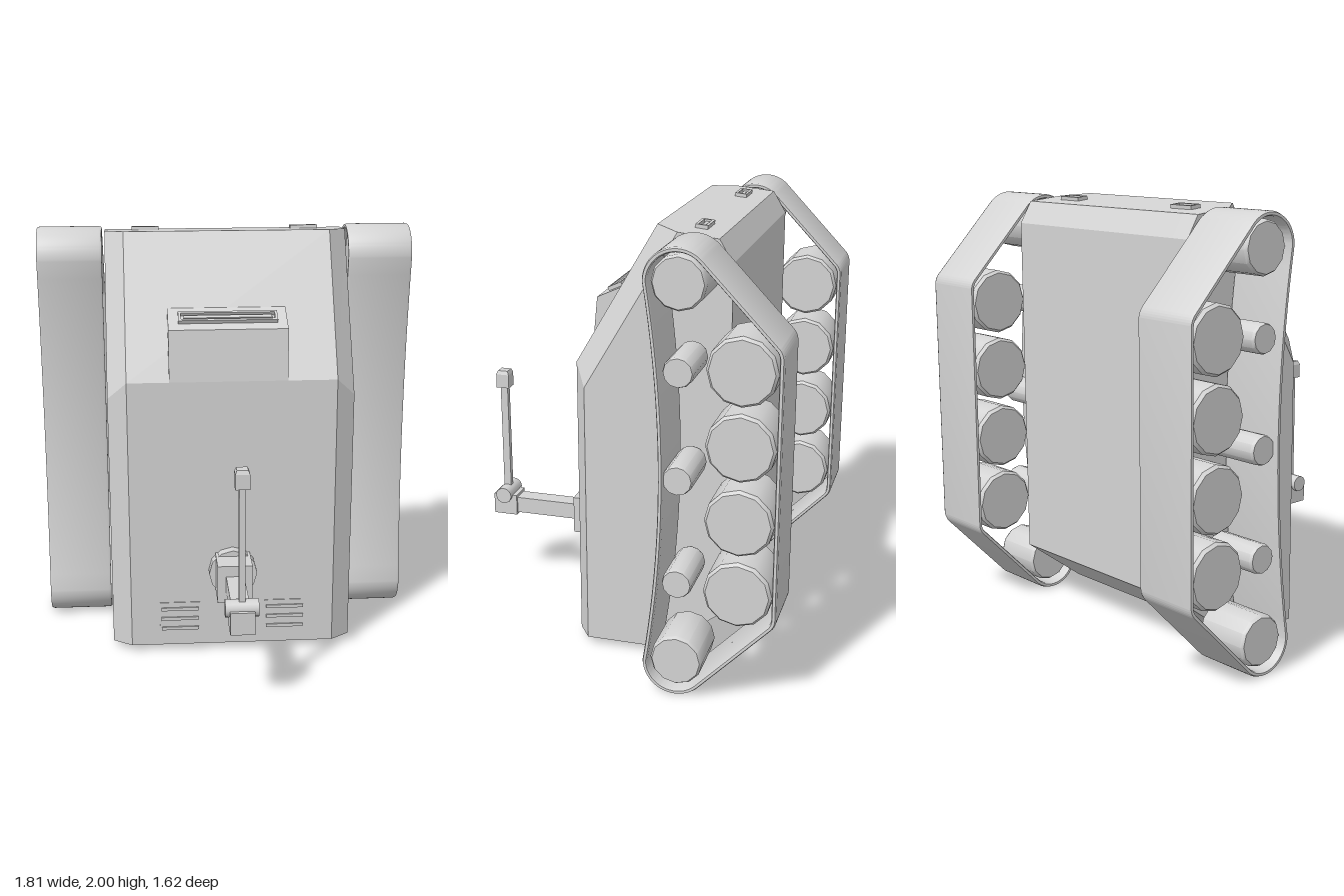
import * as THREE from 'three';
import { toCreasedNormals } from 'three/addons/utils/BufferGeometryUtils.js';

const grey = new THREE.MeshStandardMaterial({ color: 0xd4d4d4 });
grey.name = 'plain grey';

function add(parent, name, geometry, x = 0, y = 0, z = 0) {
  const mesh = new THREE.Mesh(geometry, grey);
  mesh.name = name;
  mesh.position.set(x, y, z);
  parent.add(mesh);
  return mesh;
}

const box = (w, h, d) => new THREE.BoxGeometry(w, h, d);

// Convex [z, y] profiles (front-bottom, up, over the top, back) joined along x
function loft(sections) {
  const pos = [];
  const pt = (s, i) => [s.x, s.p[i][1], s.p[i][0]];
  const n = sections[0].p.length;
  for (let k = 0; k + 1 < sections.length; k++) {
    const a = sections[k], b = sections[k + 1];
    for (let i = 0; i < n; i++) {
      const j = (i + 1) % n;
      pos.push(...pt(a, i), ...pt(b, i), ...pt(b, j), ...pt(a, i), ...pt(b, j), ...pt(a, j));
    }
  }
  const first = sections[0], last = sections[sections.length - 1];
  for (let i = 1; i + 1 < n; i++) {
    pos.push(...pt(first, 0), ...pt(first, i), ...pt(first, i + 1));
    pos.push(...pt(last, 0), ...pt(last, i + 1), ...pt(last, i));
  }
  const g = new THREE.BufferGeometry();
  g.setAttribute('position', new THREE.Float32BufferAttribute(pos, 3));
  g.computeVertexNormals();
  return g;
}

// Flat rectangular rim lying on a surface, facing up
function rim(w, d, h, t) {
  const rect = (path, a, b) =>
    path.moveTo(-a, -b).lineTo(a, -b).lineTo(a, b).lineTo(-a, b).closePath();
  const shape = new THREE.Shape();
  rect(shape, w / 2, d / 2);
  const hole = new THREE.Path();
  rect(hole, w / 2 - t, d / 2 - t);
  shape.holes.push(hole);
  return new THREE.ExtrudeGeometry(shape, { depth: h, bevelEnabled: false }).rotateX(-Math.PI / 2);
}

// Closed belt outline, inset by t; the horizontal axis is -z
function beltPoints(t) {
  const r = 0.141 - t, c = 0.074 - t, a = 0.76, x = 0.365, top = 1.852, low = 0.15;
  const path = new THREE.Path();
  path.moveTo(x - r, top);
  path.absarc(x, top, r, Math.PI, a, true);
  path.absarc(0.727, 1.57, c, a, 0, true);
  path.absarc(0.727, 0.43, c, 0, -a, true);
  path.absarc(x, low, r, -a, -Math.PI, true);
  path.quadraticCurveTo(0.36 + t, 1.0, x - r, top);
  const points = path.getPoints(20);
  points.pop();
  return points;
}

// The outline and its hole wind in opposite directions
function beltGeometry() {
  const shape = new THREE.Shape(beltPoints(0));
  shape.holes.push(new THREE.Path(beltPoints(0.012).reverse()));
  const g = new THREE.ExtrudeGeometry(shape, {
    depth: 0.286, bevelThickness: 0.012, bevelSize: 0.005, bevelSegments: 1,
  });
  g.rotateY(Math.PI / 2).translate(-0.143, 0, 0);
  return toCreasedNormals(g, 0.5);
}

// Twelve-sided wheel with bevelled rims, axle along x
function wheelGeometry(r, half) {
  const b = r * 0.08;
  const pts = [[0, -half], [r - b, -half], [r, -half + 0.015], [r, half - 0.015], [r - b, half], [0, half]]
    .map(([x, y]) => new THREE.Vector2(x, y));
  return toCreasedNormals(new THREE.LatheGeometry(pts, 12).rotateZ(-Math.PI / 2), 0.6);
}

function buildTrack(side) {
  const track = new THREE.Group();
  track.name = side > 0 ? 'leftTrack' : 'rightTrack';
  track.position.x = side * 0.75;
  add(track, 'trackBelt', beltGeometry());
  const wheel = (name, r, y, z) => add(track, name, wheelGeometry(r, 0.132), 0, y, z);
  for (const y of [1.848, 0.156]) wheel('endWheel', 0.117, y, -0.365);
  for (const y of [1.5, 1.174, 0.84, 0.511]) wheel('roadWheel', 0.15, y, -0.63);
  for (const y of [1.476, 1.004, 0.527]) wheel('returnRoller', 0.067, y, -0.365);
  return track;
}

function buildHull() {
  const hull = new THREE.Group();
  hull.name = 'hull';
  const rear = [[-0.46, 1.97], [-0.52, 1.87], [-0.52, 0.27], [-0.21, 0.037]];
  const inner = [[0.203, 0.037], [0.203, 1.36], [-0.17, 2.0], ...rear];
  const outer = [[0.14, 0.037], [0.14, 1.27], [-0.28, 1.988], ...rear];
  add(hull, 'hullBody', loft([
    { x: -0.58, p: outer }, { x: -0.49, p: inner }, { x: 0.49, p: inner }, { x: 0.58, p: outer },
  ]));

  // Viewing hood on the sloped front
  const hood = [[0.203, 1.36], [0.18, 1.6], [0.03, 1.67], [-0.03, 1.67], [0.1, 1.36]];
  add(hull, 'viewingHood', loft([{ x: -0.293, p: hood }, { x: 0.26, p: hood }]));
  const slot = new THREE.Group();
  slot.name = 'viewingSlot';
  slot.position.set(-0.015, 1.635, 0.105);
  slot.rotation.x = 0.437;
  add(slot, 'slotRim', rim(0.46, 0.07, 0.018, 0.012));
  add(slot, 'slotBar', box(0.41, 0.02, 0.02), 0, 0.004, 0);
  hull.add(slot);

  for (const s of [-1, 1]) {
    // Small roof fittings
    const fitting = new THREE.Group();
    fitting.name = 'roofFitting';
    fitting.position.set(s * 0.385, 1.98, -0.35);
    fitting.rotation.x = -0.103;
    add(fitting, 'fittingRim', rim(0.13, 0.056, 0.018, 0.012));
    add(fitting, 'fittingBar', box(0.1, 0.012, 0.015), 0, 0.004, 0);
    hull.add(fitting);

    // Front vents: a thin plate carrying three slats
    add(hull, 'ventPlate', box(0.195, 0.175, 0.008), s * 0.255, 0.172, 0.203);
    for (const y of [0.125, 0.176, 0.226]) add(hull, 'ventSlat', box(0.18, 0.016, 0.016), s * 0.255, y, 0.206);
  }
  return hull;
}

// Jointed arm standing out from the front
function buildArm() {
  const arm = new THREE.Group();
  arm.name = 'frontArm';
  const mount = new THREE.CylinderGeometry(0.115, 0.115, 0.06, 12).rotateX(Math.PI / 2);
  add(arm, 'armMount', toCreasedNormals(mount, 0.6), 0, 0.425, 0.225);
  add(arm, 'armSocket', box(0.165, 0.185, 0.18), 0, 0.42, 0.287);
  add(arm, 'armBeam', box(0.085, 0.08, 0.34), 0, 0.42, 0.53);
  add(arm, 'armEnd', box(0.11, 0.105, 0.12), 0, 0.422, 0.753);
  add(arm, 'armJoint', new THREE.CylinderGeometry(0.04, 0.04, 0.15, 16).rotateZ(Math.PI / 2), 0, 0.475, 0.755);
  add(arm, 'armRod', box(0.028, 0.57, 0.036), 0, 0.77, 0.755);
  add(arm, 'rodTip', box(0.064, 0.068, 0.064), 0, 1.071, 0.755);
  const cap = new THREE.CylinderGeometry(0.035, 0.0453, 0.018, 4).rotateY(Math.PI / 4);
  add(arm, 'rodTipCap', toCreasedNormals(cap, 0.5), 0, 1.114, 0.755);
  return arm;
}

export function createModel() {
  const model = new THREE.Group();
  model.name = 'trackedVehicle';
  model.add(buildHull(), buildArm(), buildTrack(1), buildTrack(-1));
  return model;
}
